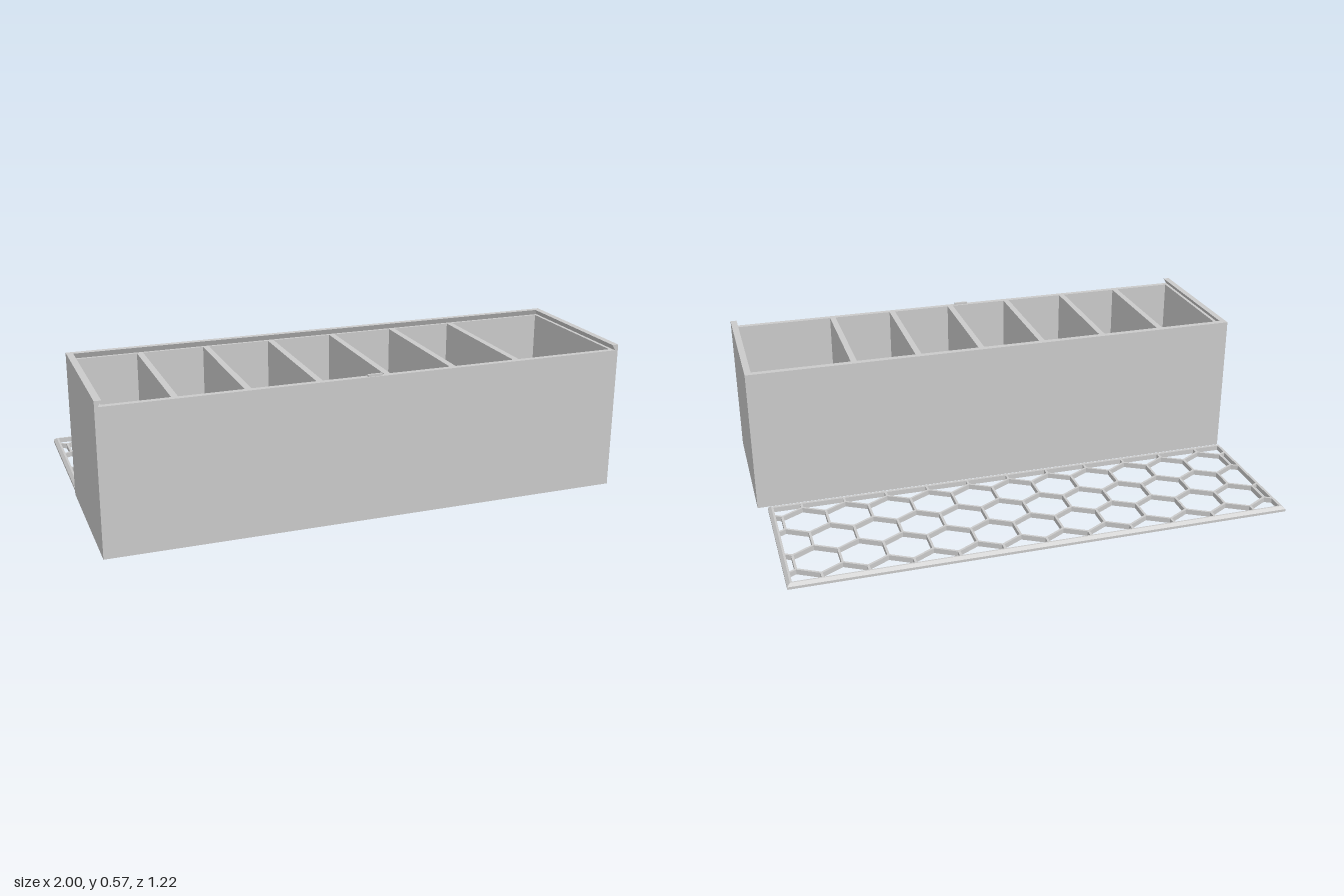
import * as THREE from 'three';

const V = (x, y) => new THREE.Vector2(x, y);
const rect = (x0, x1, z0, z1) => [V(x0, z0), V(x1, z0), V(x1, z1), V(x0, z1)];

// Extrude a plan outline (x, z) upwards from y0 to y1, all loops turned counter-clockwise
function extrudeUp(outline, holes, y0, y1, steps = 1) {
  const flip = loop => loop.map(p => V(p.x, -p.y)).reverse();
  const shape = new THREE.Shape(flip(outline));
  shape.holes = holes.map(h => new THREE.Path(flip(h)));
  const g = new THREE.ExtrudeGeometry(shape, { depth: y1 - y0, steps, bevelEnabled: false });
  return g.rotateX(-Math.PI / 2).translate(0, y0, 0);
}

// Move vertices by a rule, then refresh the flat normals
function reshape(g, rule) {
  const p = g.attributes.position;
  const v = new THREE.Vector3();
  for (let i = 0; i < p.count; i++) {
    rule(v.fromBufferAttribute(p, i));
    p.setXYZ(i, v.x, v.y, v.z);
  }
  g.computeVertexNormals();
  return g;
}

// Clip a convex polygon to one side of an axis-aligned line
function clip(poly, axis, limit, sign) {
  const out = [];
  poly.forEach((a, i) => {
    const b = poly[(i + 1) % poly.length];
    const da = sign * (limit - a[axis]), db = sign * (limit - b[axis]);
    if (da >= 0) out.push(a);
    if (da * db < 0) out.push(a.clone().lerp(b, da / (da - db)));
  });
  return out;
}

export function createModel() {
  const group = new THREE.Group();
  const grey = new THREE.MeshStandardMaterial({ color: 0xcacaca });
  grey.name = 'plain grey';
  const add = (name, geometry) => {
    const mesh = new THREE.Mesh(geometry, grey);
    mesh.name = name;
    group.add(mesh);
    return mesh;
  };

  const front = 0.612, back = 0.006, floorY = 0.02, shelfY = 0.55, topY = 0.572;

  // Box floor
  add('floor', extrudeUp(rect(-1, 1, back, front), [], 0, floorY));

  // Outer walls and dividers, with seven compartments left open
  const dividers = [-0.725, -0.467, -0.205, 0.052, 0.312, 0.572];
  const edges = [-0.987, ...dividers, 0.987];
  const pockets = edges.slice(1).map((x, i) => rect(edges[i] + 0.012, x - 0.012, 0.03, 0.59));
  add('wallsAndDividers', extrudeUp(rect(-1, 1, back, front), pockets, floorY, shelfY));

  // Dovetail rails on three sides, open at the front for the sliding lid
  const rails = extrudeUp([
    V(-1, back), V(1, back), V(1, front), V(0.988, front),
    V(0.988, 0.018), V(-0.988, 0.018), V(-0.988, front), V(-1, front),
  ], [], shelfY, topY);
  add('lidRails', reshape(rails, v => {
    if (v.y < topY - 0.001 || Math.abs(v.x) > 0.995) return;
    v.x -= Math.sign(v.x) * 0.013;
    if (v.z < 0.1) v.z += 0.012;
  }));

  // Small catch in the middle of the front edge
  const catchBar = add('lidCatch', new THREE.BoxGeometry(0.055, 0.012, 0.01));
  catchBar.position.set(0, shelfY + 0.002, 0.603);

  // Lid lying behind the box: bevelled frame with a honeycomb of openings
  const L = { x0: -0.995, x1: 0.962, z0: -0.612, z1: -0.02 };
  const inner = { x0: -0.975, x1: 0.942, z0: -0.594, z1: -0.045 };
  const pitch = 0.1697, rowPitch = pitch * Math.sqrt(3) / 2;
  const radius = (pitch - 0.009) / Math.sqrt(3);
  const openings = [];
  for (let row = -2; row <= 2; row++) {
    for (let col = -7; col <= 7; col++) {
      const cx = -0.016 + (col + (row % 2 ? 0.5 : 0)) * pitch - pitch / 2;
      const cz = -0.319 + row * rowPitch;
      let hex = Array.from({ length: 6 }, (_, k) => {
        const a = (k + 0.5) * Math.PI / 3;
        return V(cx + radius * Math.cos(a), cz + radius * Math.sin(a));
      });
      hex = clip(hex, 'x', inner.x0, -1);
      hex = clip(hex, 'x', inner.x1, 1);
      hex = clip(hex, 'y', inner.z0, -1);
      hex = clip(hex, 'y', inner.z1, 1);
      if (hex.length > 2 && THREE.ShapeUtils.area(hex) > 0.0001) openings.push(hex);
    }
  }
  const lid = extrudeUp(rect(L.x0, L.x1, L.z0, L.z1), openings, 0, 0.02, 2);
  add('honeycombLid', reshape(lid, v => {
    if (v.y < 0.015) return;
    if (v.x < L.x0 + 0.001) v.x += 0.012;
    if (v.x > L.x1 - 0.001) v.x -= 0.012;
    if (v.z < L.z0 + 0.001) v.z += 0.012;
    if (v.z > L.z1 - 0.001) v.z -= 0.012;
  }));

  return group;
}
